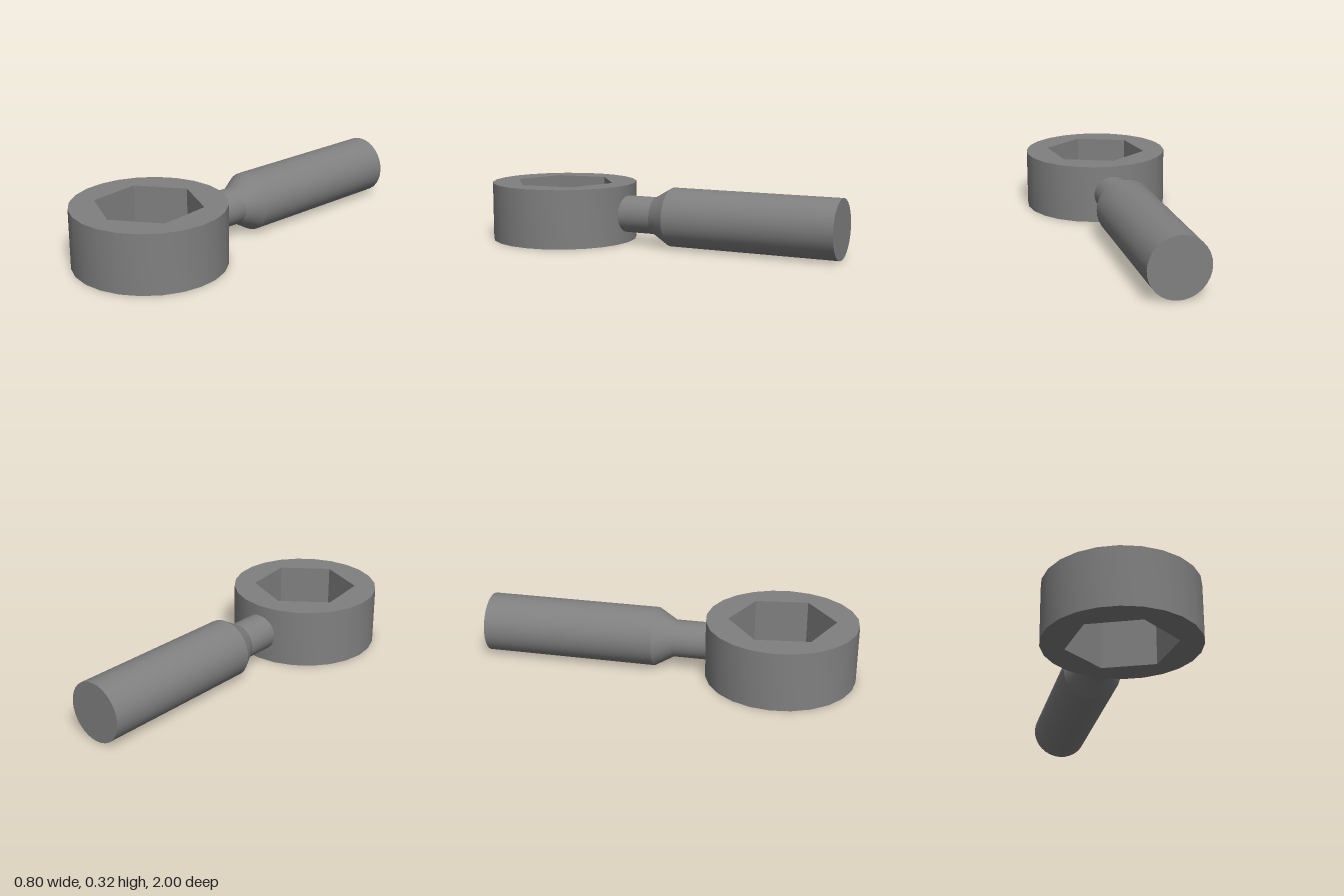
import * as THREE from 'three';
import { toCreasedNormals } from 'three/addons/utils/BufferGeometryUtils.js';

const HEIGHT = 0.316;
const RING_Z = 0.6;

// Regular polygon as a list of 2D points
function polygon(radius, sides, startAngle) {
  return Array.from({ length: sides }, (_, i) => {
    const a = startAngle + (i / sides) * Math.PI * 2;
    return new THREE.Vector2(Math.cos(a) * radius, Math.sin(a) * radius);
  });
}

export function createModel() {
  const group = new THREE.Group();
  const steel = new THREE.MeshStandardMaterial({ color: 0x808080 });
  steel.name = 'grey steel';

  // Round head with a slightly turned hexagonal through-hole
  const outline = new THREE.Shape(polygon(0.4, 24, 0));
  outline.holes.push(new THREE.Path(polygon(0.283, 6, THREE.MathUtils.degToRad(22.5))));
  const headGeometry = new THREE.ExtrudeGeometry(outline, { depth: HEIGHT, bevelEnabled: false });
  headGeometry.rotateX(Math.PI / 2);
  headGeometry.translate(0, HEIGHT, RING_Z);
  const head = new THREE.Mesh(toCreasedNormals(headGeometry, 0.4), steel);
  head.name = 'hexSocketHead';
  group.add(head);

  // Turned handle: flat end, grip, taper and neck running into the head
  const profile = [
    [0, -1], [0.158, -1], [0.158, -0.07], [0.1, 0.03], [0.1, 0.25], [0, 0.25],
  ].map(([r, z]) => new THREE.Vector2(r, z));
  const handleGeometry = new THREE.LatheGeometry(profile, 32);
  handleGeometry.rotateX(Math.PI / 2);
  handleGeometry.translate(0, HEIGHT / 2, 0);
  const handle = new THREE.Mesh(toCreasedNormals(handleGeometry, 0.4), steel);
  handle.name = 'handle';
  group.add(handle);

  return group;
}
